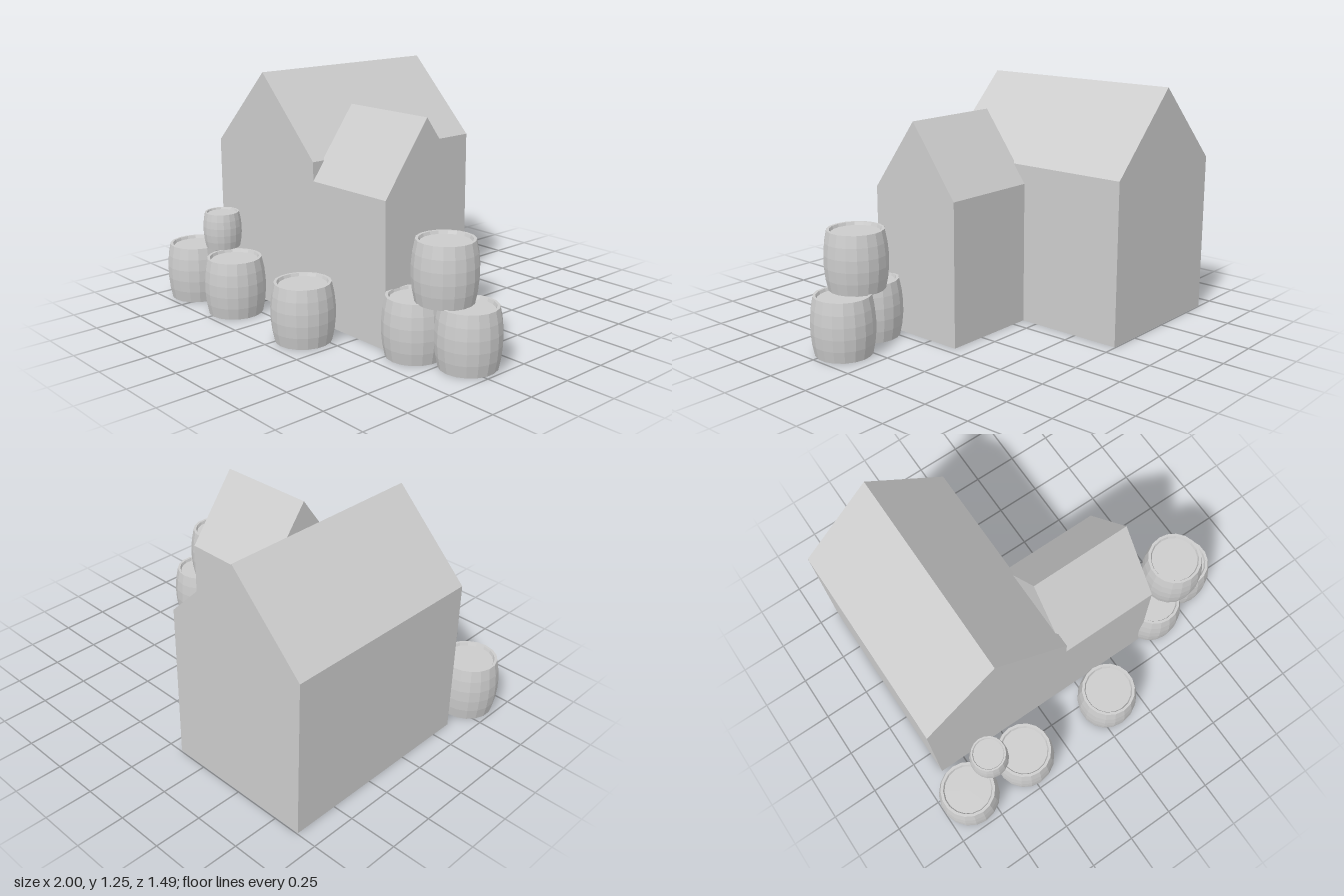
import * as THREE from 'three';

const plaster = new THREE.MeshStandardMaterial({ color: 0xcccccc });
plaster.name = 'plain grey';

// Solid gabled block: pentagon section centred on x = 0, running along z from 0
function gableBlock(name, width, eaves, ridge, length) {
  const h = width / 2;
  const section = new THREE.Shape([
    new THREE.Vector2(-h, 0), new THREE.Vector2(h, 0), new THREE.Vector2(h, eaves),
    new THREE.Vector2(0, ridge), new THREE.Vector2(-h, eaves),
  ]);
  const mesh = new THREE.Mesh(
    new THREE.ExtrudeGeometry(section, { depth: length, bevelEnabled: false }), plaster);
  mesh.name = name;
  return mesh;
}

// Faceted barrel, 0.3 high, with recessed lid and base
function barrelGeometry() {
  const profile = [
    [0, 0.015], [0.122, 0.015], [0.128, 0], [0.142, 0], [0.154, 0.06], [0.16, 0.12],
    [0.16, 0.18], [0.154, 0.24], [0.142, 0.3], [0.128, 0.3], [0.122, 0.285], [0, 0.285],
  ].map(([r, y]) => new THREE.Vector2(r, y));
  const geometry = new THREE.LatheGeometry(profile, 18).toNonIndexed();
  geometry.computeVertexNormals();
  return geometry;
}

export function createModel() {
  const model = new THREE.Group();
  model.name = 'farmhouse';

  // Main house, ridge running front to back
  const house = gableBlock('mainHouse', 0.81, 0.837, 1.245, 1.113);
  house.position.set(-0.485, 0, -0.745);
  model.add(house);

  // Side wing, ridge running left to right
  const wing = gableBlock('sideWing', 0.532, 0.74, 1.1, 0.542);
  wing.rotation.y = Math.PI / 2;
  wing.position.set(-0.092, 0, 0.102);
  model.add(wing);

  // Barrels: x, y, z, scale
  const geometry = barrelGeometry();
  [
    [-0.84, 0, 0.583, 1], [-0.485, 0, 0.58, 1], [0.07, 0, 0.565, 1],
    [0.575, 0, 0.295, 1], [0.84, 0, 0.208, 1],
    [0.716, 0.295, 0.24, 1], [-0.665, 0.308, 0.527, 0.635],
  ].forEach(([x, y, z, s], i) => {
    const barrel = new THREE.Mesh(geometry, plaster);
    barrel.name = `barrel${i + 1}`;
    barrel.position.set(x, y, z);
    barrel.scale.setScalar(s);
    model.add(barrel);
  });

  return model;
}
